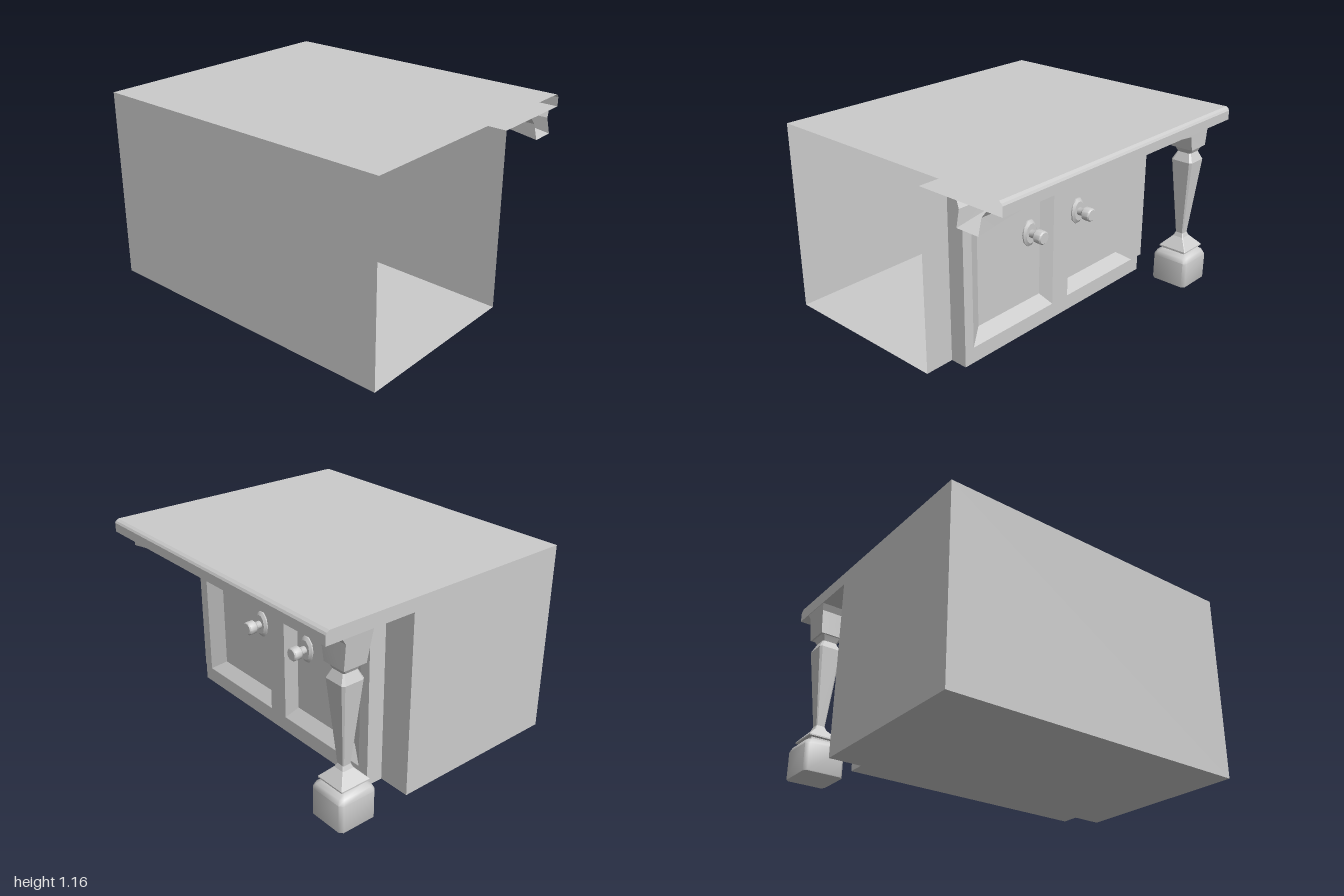
import * as THREE from 'three';
import { toCreasedNormals } from 'three/addons/utils/BufferGeometryUtils.js';

const material = new THREE.MeshStandardMaterial({ color: 0xcccccc, side: THREE.DoubleSide });

function addMesh(parent, name, geometry) {
  const mesh = new THREE.Mesh(geometry, material);
  mesh.name = name;
  parent.add(mesh);
  return mesh;
}

// Skin a list of closed rings of [x, y, z], with optional flat ends
function loft(rings, { start = false, end = false, crease = 0.3 } = {}) {
  const pos = [];
  const tri = (a, b, c) => pos.push(...a, ...b, ...c);
  const n = rings[0].length;
  for (let r = 0; r < rings.length - 1; r++) {
    const a = rings[r], b = rings[r + 1];
    for (let i = 0; i < n; i++) {
      const j = (i + 1) % n;
      tri(a[i], a[j], b[j]);
      tri(a[i], b[j], b[i]);
    }
  }
  const first = rings[0], last = rings[rings.length - 1];
  for (let i = 1; i < n - 1; i++) {
    if (start) tri(first[0], first[i + 1], first[i]);
    if (end) tri(last[0], last[i], last[i + 1]);
  }
  const geometry = new THREE.BufferGeometry();
  geometry.setAttribute('position', new THREE.Float32BufferAttribute(pos, 3));
  return toCreasedNormals(geometry, crease);
}

// Upright rectangle facing +x
const rectX = (x, y0, y1, z0, z1) => [[x, y0, z0], [x, y1, z0], [x, y1, z1], [x, y0, z1]];

// Square ring with cut corners, lying flat at height y
function squareRing(y, h, c) {
  const ring = [];
  for (let k = 0; k < 4; k++) {
    for (const side of [-1, 1]) {
      let z = h, x = side * (h - c);
      for (let q = 0; q < k; q++) [z, x] = [-x, z];
      ring.push([x, y, z]);
    }
  }
  return ring;
}

function makeBody() {
  const body = new THREE.Group();
  body.name = 'cabinetBody';
  // Shell with overhanging top, open at the +z end
  const outline = [[-0.83, 0], [0.265, 0], [0.265, 1.08], [0.825, 1.08], [0.825, 1.135], [0.818, 1.147], [0.803, 1.157], [-0.83, 1.157]];
  addMesh(body, 'cabinetShell', loft([-0.975, 0.972].map(z => outline.map(([x, y]) => [x, y, z]))));
  const wall = new THREE.ShapeGeometry(new THREE.Shape(outline.map(p => new THREE.Vector2(...p))));
  addMesh(body, 'endWall', wall).position.z = -0.975;
  return body;
}

// Raised front with two recessed door panels
function makeDoors() {
  const doors = new THREE.Group();
  doors.name = 'doorFront';
  const front = 0.372, deep = 0.315;
  addMesh(doors, 'frontSides', loft([rectX(0.265, 0, 0.99, -0.78, 0.79), rectX(front, 0, 0.99, -0.78, 0.79)]));
  const rect = (Type, u0, u1, v0, v1) => new Type([[u0, v0], [u1, v0], [u1, v1], [u0, v1]].map(p => new THREE.Vector2(...p)));
  const frame = rect(THREE.Shape, -0.79, 0.78, 0, 0.99);

  // Outer and inner z limits of each recess, and its knob position
  const panels = [
    { outer: [0.075, 0.727], inner: [0.13, 0.632], knob: 0.222 },
    { outer: [-0.712, -0.062], inner: [-0.615, -0.115], knob: -0.203 },
  ];
  for (const { outer, inner, knob } of panels) {
    frame.holes.push(rect(THREE.Path, -outer[1], -outer[0], 0.095, 0.905));
    addMesh(doors, 'doorPanel', loft([
      rectX(front, 0.095, 0.905, ...outer),
      rectX(deep, 0.165, 0.82, ...inner),
    ], { end: true }));
    const handle = makeKnob();
    handle.position.set(deep, 0.59, knob);
    doors.add(handle);
  }
  addMesh(doors, 'doorFrame', new THREE.ShapeGeometry(frame).rotateY(Math.PI / 2)).position.x = front;
  return doors;
}

// Knob on an oval plate, pointing along +x
function makeKnob() {
  const knob = new THREE.Group();
  knob.name = 'doorKnob';
  const turned = points => toCreasedNormals(
    new THREE.LatheGeometry(points.map(p => new THREE.Vector2(...p)), 10).toNonIndexed(), 0.7);
  const plate = addMesh(knob, 'knobPlate', turned([[0.056, 0], [0.056, 0.008], [0.042, 0.02], [0, 0.02]]));
  plate.scale.x = 1.47;
  addMesh(knob, 'knobHead', turned([[0.024, 0.015], [0.024, 0.05], [0.03, 0.058], [0.041, 0.066], [0.041, 0.108], [0.034, 0.116], [0, 0.116]]));
  knob.rotation.z = -Math.PI / 2;
  return knob;
}

// Arched rail under the overhang, dropping to a block above the leg
function makeApron() {
  const arch = z => 1.035 - 0.08 * z * z;
  const section = (zTop, zBottom, bottom) => {
    const lip = 1.045;
    return [[0.529, 1.08], [0.551, lip], [0.553, bottom], [0.697, bottom], [0.699, lip], [0.723, 1.08]]
      .map(([x, y]) => [x, y, THREE.MathUtils.lerp(zTop, zBottom, (1.08 - y) / (1.08 - bottom))]);
  };
  const rings = [section(-0.972, -0.953, 0.895), section(-0.79, -0.807, 0.895)];
  for (let i = 0; i <= 12; i++) {
    const z = -0.79 + 1.79 * i / 12;
    rings.push(section(i === 12 ? 0.972 : z, z, arch(z)));
  }
  return loft(rings, { start: true });
}

// Square turned leg: height, half width, corner cut
function makeLeg() {
  const leg = new THREE.Group();
  leg.name = 'leg';
  const base = [[0, 0.119, 0.018], [0.005, 0.121, 0.02], [0.165, 0.121, 0.02], [0.192, 0.109, 0.02], [0.21, 0.08, 0.012]];
  const shaft = [[0.205, 0.078, 0.004], [0.22, 0.078, 0.004], [0.223, 0.094, 0.003], [0.231, 0.094, 0.003],
    [0.295, 0.036, 0.005], [0.32, 0.026, 0.005], [0.81, 0.071, 0.013], [0.862, 0.046, 0.008], [0.89, 0.06, 0.01], [0.9, 0.066, 0.01]];
  const rings = list => list.map(p => squareRing(...p));
  addMesh(leg, 'legBase', loft(rings(base), { start: true, end: true, crease: 0.9 }));
  addMesh(leg, 'legShaft', loft(rings(shaft), { start: true, end: true, crease: 0.3 }));
  leg.position.set(0.626, 0, -0.879);
  return leg;
}

export function createModel() {
  const model = new THREE.Group();
  model.name = 'counterCabinet';
  model.add(makeBody(), makeDoors(), makeLeg());
  addMesh(model, 'archedApron', makeApron());
  return model;
}
